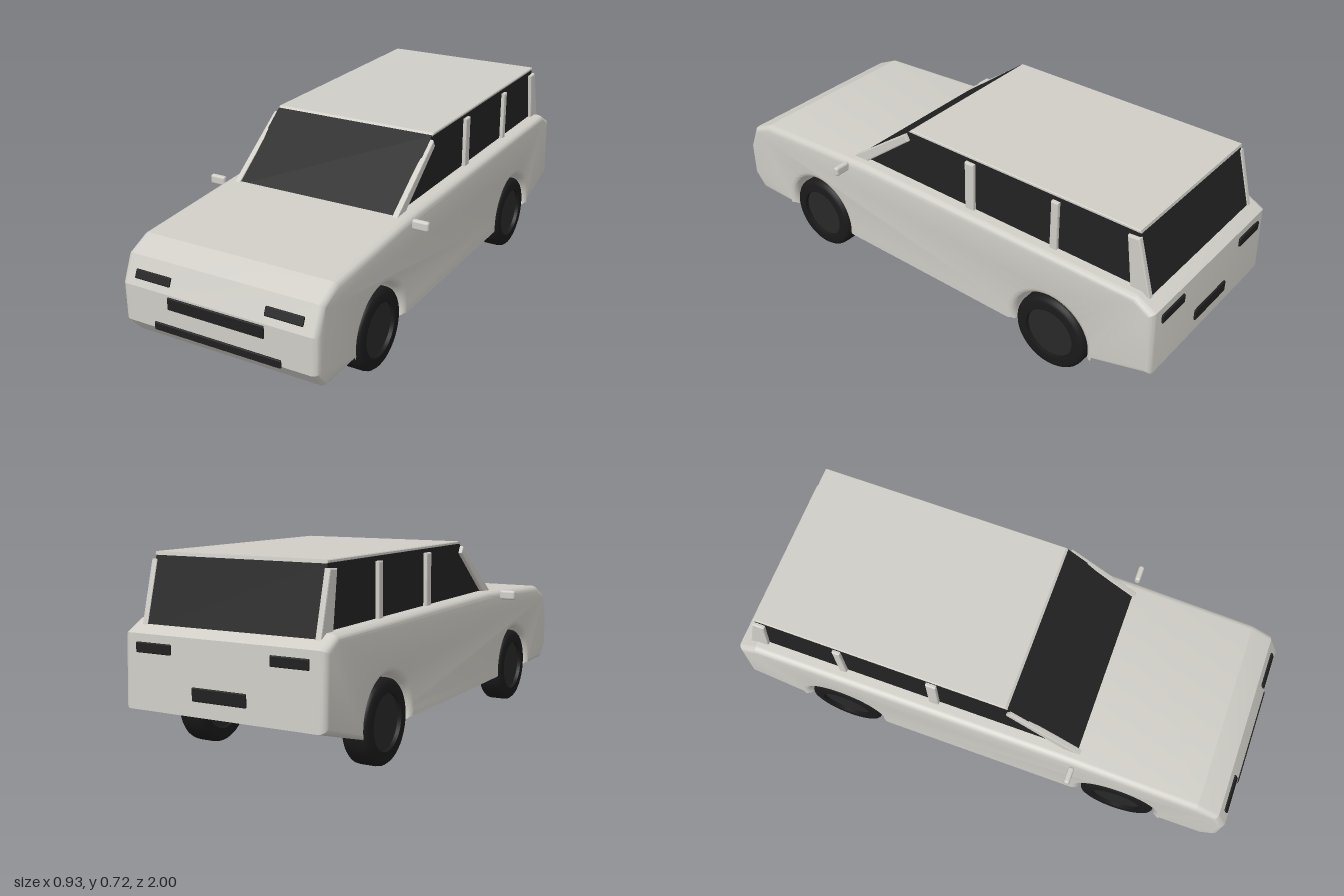
import * as THREE from 'three';
import { toCreasedNormals } from 'three/addons/utils/BufferGeometryUtils.js';
import { RoundedBoxGeometry } from 'three/addons/geometries/RoundedBoxGeometry.js';

const mat = (name, color) => Object.assign(new THREE.MeshStandardMaterial({ color }), { name });

export function createModel() {
  const car = new THREE.Group();
  car.name = 'car';
  const paint = mat('bodyPaint', 0xcfcdc6);
  const glass = mat('darkGlass', 0x222222);
  const rubber = mat('tyreRubber', 0x1a1a1a);
  const hubGrey = mat('hubGrey', 0x282828);
  const trim = mat('blackTrim', 0x202020);

  const add = (name, geometry, material, x = 0, y = 0, z = 0) => {
    const mesh = new THREE.Mesh(geometry, material);
    mesh.name = name;
    mesh.position.set(x, y, z);
    car.add(mesh);
    return mesh;
  };

  // Side profile drawn in (z, y), extruded across x and centred
  const across = (shape, width, bevel, segments = 2) => {
    const g = new THREE.ExtrudeGeometry(shape, {
      depth: width - 2 * bevel, curveSegments: 28, bevelEnabled: bevel > 0,
      bevelSize: bevel, bevelThickness: bevel, bevelOffset: -bevel, bevelSegments: segments,
    });
    g.translate(0, 0, bevel - width / 2);
    g.rotateY(-Math.PI / 2);
    return toCreasedNormals(g, 0.36);
  };
  const poly = (pts) => new THREE.Shape(pts.map(([z, y]) => new THREE.Vector2(z, y)));

  // Lower body with wheel arches cut through
  const body = new THREE.Shape();
  body.moveTo(-0.965, 0.125);
  for (const z of [-0.58, 0.58]) body.absarc(z, 0.155, 0.16, Math.PI + 0.19, -0.19, true);
  [[0.94, 0.125], [0.994, 0.188], [0.994, 0.325], [0.952, 0.422], [0.865, 0.463], [0.4, 0.491],
    [0.3, 0.496], [-0.91, 0.496], [-0.985, 0.455], [-0.994, 0.2]].forEach(([z, y]) => body.lineTo(z, y));
  body.closePath();
  add('body', across(body, 0.78, 0.025, 5), paint);

  // Glasshouse and roof
  add('windows', across(poly([[0.40, 0.48], [0.108, 0.704], [-0.876, 0.708], [-0.945, 0.46]]), 0.666, 0), glass);
  add('roof', across(poly([[0.112, 0.7], [0.098, 0.711], [-0.88, 0.717], [-0.882, 0.705]]), 0.67, 0.003, 1), paint);

  // Pillars, mirrored on both sides
  const pillars = {
    frontPillar: [[0.335, 0.485], [0.405, 0.485], [0.12, 0.692], [0.105, 0.665]],
    middlePillar: [[-0.205, 0.485], [-0.165, 0.485], [-0.165, 0.688], [-0.205, 0.688]],
    rearDoorPillar: [[-0.57, 0.485], [-0.54, 0.485], [-0.54, 0.688], [-0.57, 0.688]],
    rearPillar: [[-0.946, 0.468], [-0.87, 0.468], [-0.84, 0.688], [-0.885, 0.692]],
  };
  for (const s of [1, -1]) {
    const side = s > 0 ? 'Left' : 'Right';
    for (const [name, pts] of Object.entries(pillars))
      add(name + side, across(poly(pts), 0.022, 0.005), paint, s * 0.336);

    add('mirror' + side, new RoundedBoxGeometry(0.065, 0.037, 0.022, 3, 0.009), paint, s * 0.432, 0.477, 0.383);

    // Lights
    const head = add('headlight' + side, new RoundedBoxGeometry(0.146, 0.033, 0.009, 2, 0.004), trim, s * 0.262, 0.365, 0.979);
    head.rotation.x = -0.41;
    add('tailLight' + side, new RoundedBoxGeometry(0.142, 0.036, 0.009, 2, 0.004), trim, s * 0.263, 0.41, -0.99);
  }

  // Grille, lower intake and rear plate
  add('grille', new RoundedBoxGeometry(0.386, 0.046, 0.009, 2, 0.004), trim, 0, 0.295, 0.9955);
  add('lowerIntake', new RoundedBoxGeometry(0.51, 0.03, 0.009, 2, 0.004), trim, 0, 0.197, 0.9955);
  add('rearPlate', new RoundedBoxGeometry(0.21, 0.046, 0.009, 2, 0.004), trim, 0, 0.275, -0.9955);

  // Wheels: rounded tyre ring with a recessed hub
  const ring = [[0.1, -0.05], [0.13, -0.05], [0.141, -0.046], [0.148, -0.038], [0.15, -0.028],
    [0.15, 0.028], [0.148, 0.038], [0.141, 0.046], [0.13, 0.05], [0.1, 0.05], [0.1, -0.05]];
  const tyre = toCreasedNormals(new THREE.LatheGeometry(ring.map(([r, a]) => new THREE.Vector2(r, a)), 40), 0.6);
  tyre.rotateZ(Math.PI / 2);
  const hub = new THREE.CylinderGeometry(0.102, 0.102, 0.07, 40).rotateZ(Math.PI / 2);
  for (const s of [1, -1]) for (const z of [0.58, -0.58]) {
    const label = (z > 0 ? 'Front' : 'Rear') + (s > 0 ? 'Left' : 'Right');
    add('tyre' + label, tyre, rubber, s * 0.335, 0.15, z);
    add('hub' + label, hub, hubGrey, s * 0.335, 0.15, z);
  }
  return car;
}
